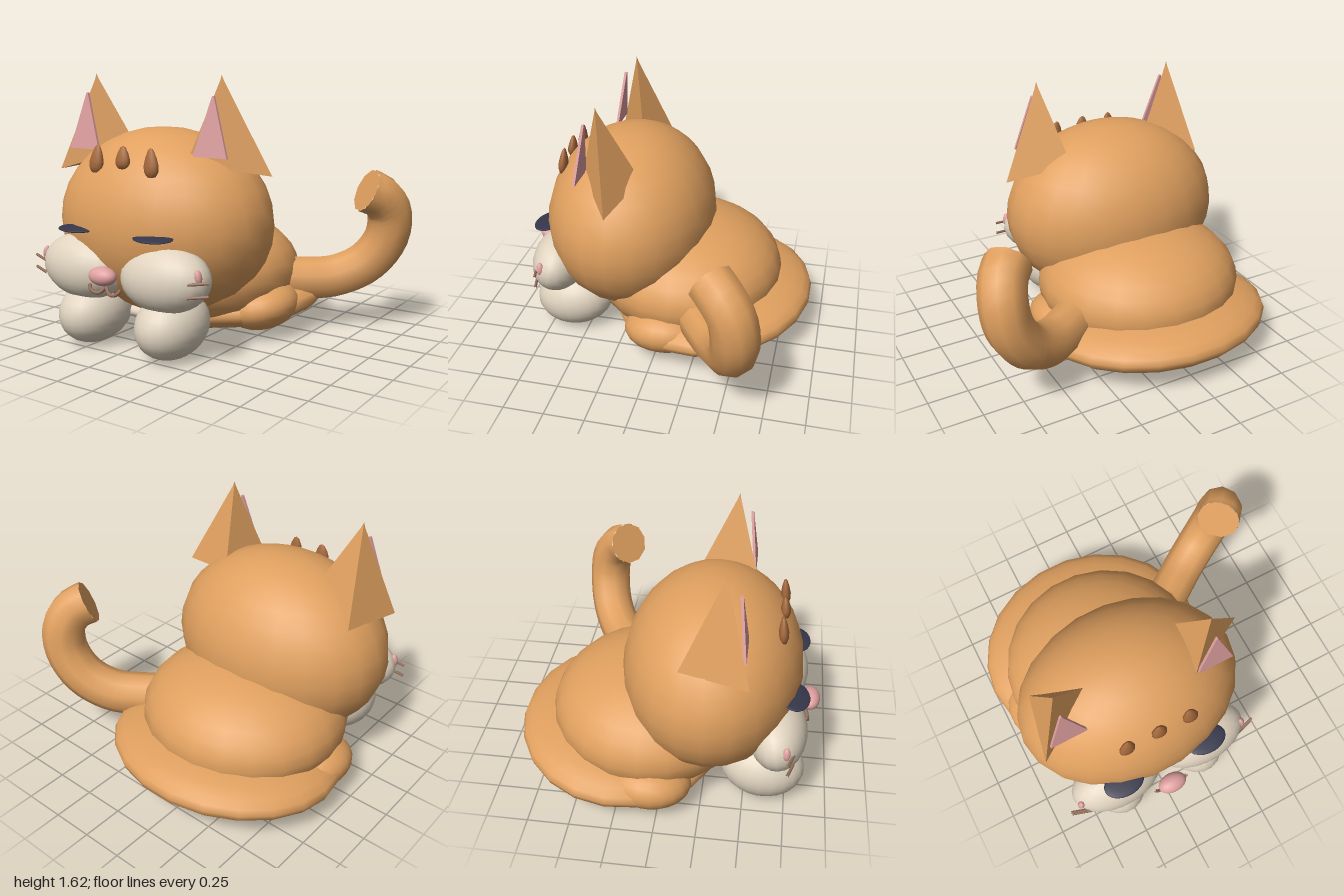
import * as THREE from 'three';

const mat = (name, color, extra = {}) => {
  const m = new THREE.MeshStandardMaterial({ color, ...extra });
  m.name = name;
  return m;
};

export function createModel() {
  const model = new THREE.Group();
  model.name = 'cat';
  const fur = mat('orange fur', 0xe0a05f);
  const cream = mat('cream', 0xe0d3bf);
  const pink = mat('pink', 0xe0a0a0);
  const stripe = mat('brown markings', 0xa5693c);
  const line = mat('whisker brown', 0x9a7560);
  const dark = mat('dark eye', 0x35364a);
  const CX = -0.25; // the body's own mirror plane

  const add = (name, geo, material, parent = model) => {
    const mesh = new THREE.Mesh(geo, material);
    mesh.name = name;
    parent.add(mesh);
    return mesh;
  };
  const ball = (name, material, pos, radii, rot = [0, 0, 0]) => {
    const mesh = add(name, new THREE.SphereGeometry(1, 22, 16), material);
    mesh.position.set(...pos);
    mesh.scale.set(...radii);
    mesh.rotation.set(...rot);
    return mesh;
  };
  const vec = (p) => new THREE.Vector3(...p);
  const tube = (name, material, pts, r, segs = 10, sides = 6) =>
    add(name, new THREE.TubeGeometry(new THREE.CatmullRomCurve3(pts.map(vec)), segs, r, sides), material);

  // Head, torso and the flat haunch cushion
  ball('head', fur, [CX, 0.735, 0.27], [0.71, 0.57, 0.54]);
  ball('torso', fur, [CX, 0.38, -0.1], [0.65, 0.375, 0.62]);
  ball('haunches', fur, [CX, 0.205, -0.28], [0.75, 0.185, 0.65], [0.08, 0, 0]);
  ball('chestPatch', cream, [CX, 0.18, 0.42], [0.32, 0.05, 0.08]);

  // Nose
  ball('nose', pink, [CX, 0.5, 0.868], [0.092, 0.055, 0.06]);

  // Mirrored face parts and paws
  for (const [s, side] of [[1, 'left'], [-1, 'right']]) {
    const x = (d) => CX + s * d;
    ball(side + 'Cheek', cream, [x(0.3), 0.487, 0.68], [0.295, 0.195, 0.175], [-0.2, 0, s * 0.06]);
    ball(side + 'FrontPaw', cream, [x(0.29), 0.2, 0.605], [0.2, 0.195, 0.255], [0.15, 0, 0]);
    ball(side + 'HindPaw', fur, [x(0.5), 0.19, -0.06], [0.225, 0.15, 0.26], [0, s * 0.15, s * 0.2]);
    ball(side + 'Eye', dark, [x(0.28), 0.728, 0.765], [0.128, 0.014, 0.085], [0.08, 0, 0]);
    ball(side + 'Blush', pink, [x(0.565), 0.545, 0.735], [0.02, 0.04, 0.022], [0, 0, s * 0.2]);
    tube(side + 'Mouth', line, [
      [x(0), 0.435, 0.84], [x(0.03), 0.4, 0.855], [x(0.07), 0.395, 0.86],
      [x(0.1), 0.41, 0.86], [x(0.115), 0.435, 0.85],
    ], 0.011);
    for (const y of [0.505, 0.43]) {
      tube(side + 'Whisker', line, [[x(0.52), y, 0.78], [x(0.64), y + 0.018, 0.745]], 0.009, 1);
    }
  }

  // Teardrop forehead markings
  const drop = [[0, -0.085], [0.03, -0.075], [0.047, -0.045], [0.048, -0.01], [0.036, 0.035], [0.018, 0.075], [0, 0.09]];
  const dropGeo = new THREE.LatheGeometry(drop.map((p) => new THREE.Vector2(...p)), 12);
  for (const i of [-1, 0, 1]) {
    const m = add('foreheadMarking', dropGeo, stripe);
    m.position.set(CX + i * 0.2, i ? 1.13 : 1.15, i ? 0.668 : 0.672);
    m.scale.set(1, i ? 1 : 0.8, 0.6);
    m.rotation.set(-0.08, 0, i * 0.08);
  }

  // Ears: three-sided blunt pyramids, corners listed in order round the base
  const ear = (name, tip, base) => {
    const b = base.map(vec);
    const t = b.map((p) => vec(tip).lerp(p, 0.04));
    const peak = vec(tip).add(vec([0, 0.01, 0]));
    const tris = [b[2], b[1], b[0]];
    for (let i = 0; i < 3; i++) {
      const j = (i + 1) % 3;
      tris.push(b[i], b[j], t[j], b[i], t[j], t[i], t[i], t[j], peak);
    }
    const geo = new THREE.BufferGeometry().setFromPoints(tris);
    geo.computeVertexNormals();
    return add(name, geo, fur);
  };
  ear('leftEar', [0.22, 1.61, 0.36], [[0.07, 1.12, 0.5], [0.49, 1.05, 0.25], [0.1, 1.13, 0.13]]);
  ear('rightEar', [-0.71, 1.61, 0.36], [[-0.89, 1.03, 0.51], [-0.48, 1.17, 0.26], [-0.81, 1.06, 0.12]]);

  // Pink inner ears, thin plates leaning back
  const inner = new THREE.Shape([[-0.115, 0], [0.115, 0], [0.005, 0.345], [-0.005, 0.345]].map((p) => new THREE.Vector2(...p)));
  const innerGeo = new THREE.ExtrudeGeometry(inner, { depth: 0.016, bevelEnabled: false });
  for (const [name, px] of [['leftInnerEar', 0.217], ['rightInnerEar', -0.715]]) {
    const m = add(name, innerGeo, pink);
    m.position.set(px, 1.16, 0.468);
    m.rotation.x = -0.11;
  }

  // Curled tail with a flat cut end
  const path = new THREE.CatmullRomCurve3([
    [0.25, 0.33, -0.25], [0.4, 0.32, -0.35], [0.56, 0.335, -0.46], [0.73, 0.43, -0.55],
    [0.845, 0.6, -0.583], [0.867, 0.77, -0.56], [0.83, 0.87, -0.49], [0.77, 0.91, -0.425],
  ].map(vec));
  const tail = new THREE.Group();
  tail.name = 'tail';
  model.add(tail);
  add('tailTube', new THREE.TubeGeometry(path, 24, 0.138, 10), fur, tail);
  const cap = add('tailEnd', new THREE.CircleGeometry(0.138, 10), fur, tail);
  cap.position.copy(path.getPointAt(1));
  cap.lookAt(path.getPointAt(1).add(path.getTangentAt(1)));

  return model;
}
